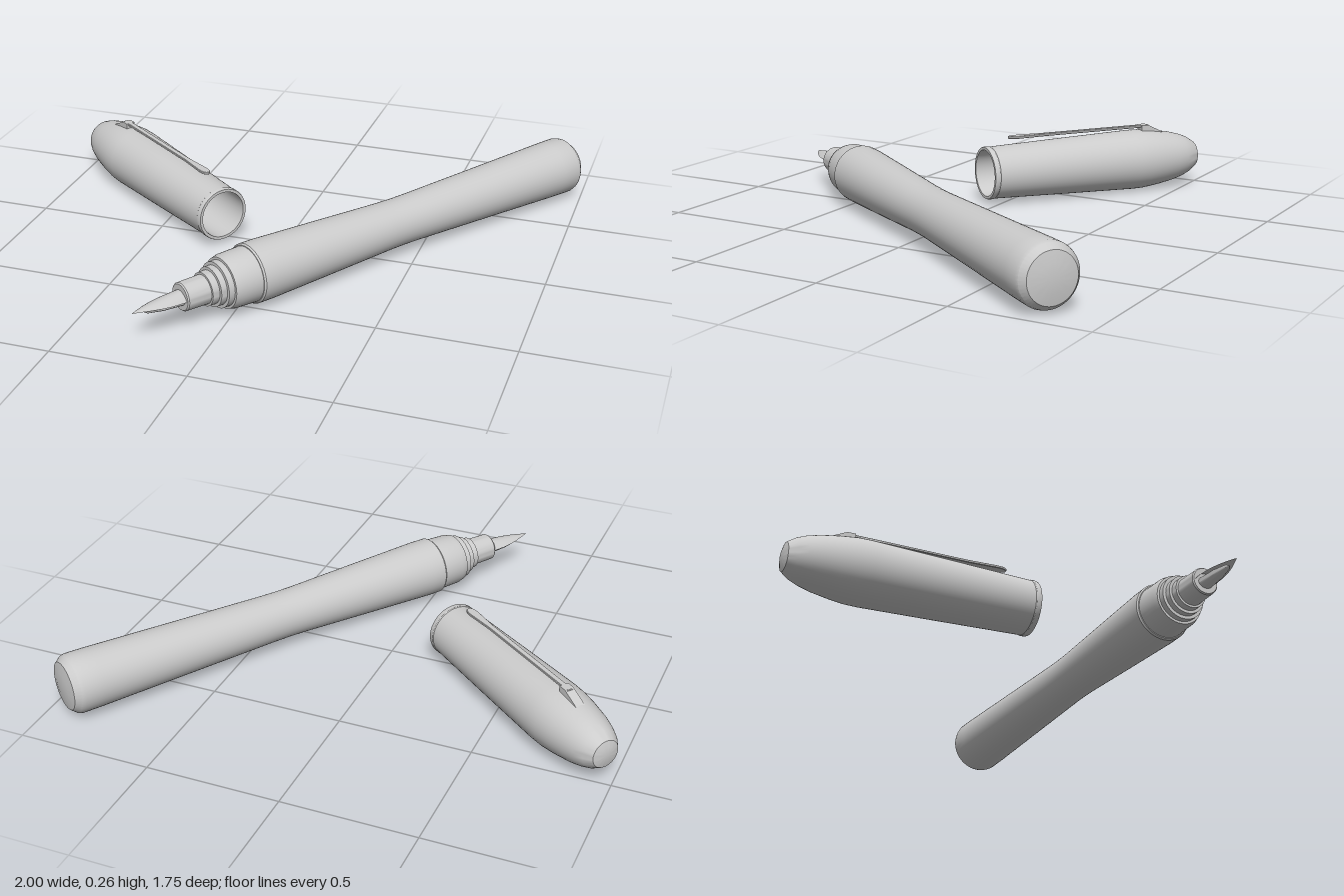
import * as THREE from 'three';
import { toCreasedNormals } from 'three/addons/utils/BufferGeometryUtils.js';
import { ParametricGeometry } from 'three/addons/geometries/ParametricGeometry.js';

const grey = new THREE.MeshStandardMaterial({ color: 0xcccccc });
const thin = new THREE.MeshStandardMaterial({ color: 0xcccccc, side: THREE.DoubleSide });

function add(parent, name, geometry, material = grey) {
  const mesh = new THREE.Mesh(geometry, material);
  mesh.name = name;
  parent.add(mesh);
  return mesh;
}

// Revolve [radius, distance] pairs about the local z axis.
function turned(profile, creaseDegrees = 25) {
  const points = profile.map(([r, d]) => new THREE.Vector2(r, d));
  const geometry = new THREE.LatheGeometry(points, 48).rotateX(Math.PI / 2);
  return toCreasedNormals(geometry, THREE.MathUtils.degToRad(creaseDegrees));
}

// Group lying flat, starting at (x, z) with its local z axis along (dx, dz).
function lying(name, x, z, dx, dz) {
  const group = new THREE.Group();
  group.name = name;
  group.position.set(x, 0.12, z);
  group.rotation.y = Math.atan2(dx, dz);
  return group;
}

function createPen() {
  const pen = lying('pen', -0.247, 0.872, 0.567, -0.824);

  // Waisted barrel with a chamfered, slightly domed end
  add(pen, 'barrel', turned([
    [0, 0.476], [0.106, 0.476], [0.111, 0.482], [0.111, 0.54],
    [0.102, 0.8], [0.091, 1.1], [0.09, 1.17], [0.091, 1.24], [0.101, 1.6],
    [0.111, 1.95], [0.112, 2.025], [0.108, 2.04], [0.09, 2.062], [0.05, 2.069], [0, 2.071],
  ]));

  // Stepped grip collar, narrowing to the stem
  add(pen, 'collar', turned([
    [0, 0.29], [0.062, 0.29], [0.062, 0.318], [0.073, 0.318], [0.073, 0.342],
    [0.085, 0.342], [0.085, 0.366], [0.094, 0.366], [0.1, 0.39], [0.103, 0.478], [0, 0.478],
  ]));
  add(pen, 'stem', turned([
    [0, 0.195], [0.048, 0.195], [0.052, 0.2], [0.054, 0.295], [0, 0.295],
  ]));

  // Arched nib plate, drawn out to a point
  const nib = new ParametricGeometry((u, v, target) => {
    const t = 0.205 * v;
    const side = 2 * u - 1;
    const halfWidth = 0.043 * Math.sin(Math.min(1, t / 0.16) * Math.PI / 2);
    const crown = 0.028 * Math.pow(v, 0.8);
    target.set(side * halfWidth, crown - 0.03 * v * side * side, t);
  }, 12, 16);
  add(pen, 'nib', nib, thin);

  // Ink feed under the nib
  const feed = add(pen, 'feed', turned([
    [0, 0.045], [0.012, 0.06], [0.024, 0.12], [0.03, 0.21], [0, 0.21],
  ], 40));
  feed.scale.y = 0.75;
  feed.position.y = -0.007;
  return pen;
}

function createCap() {
  const cap = lying('cap', -0.223, 0.059, -0.804, -0.595);

  // Hollow shell: inner wall, rim, then outer wall to the blunt tip
  add(cap, 'capShell', turned([
    [0, 0.78], [0.06, 0.77], [0.1, 0.66], [0.09, 0.02], [0.091, 0],
    [0.102, 0], [0.104, 0.006], [0.104, 0.02], [0.102, 0.023], [0.112, 0.35],
    [0.12, 0.64], [0.119, 0.69], [0.112, 0.75], [0.1, 0.82], [0.088, 0.865],
    [0.074, 0.9], [0.053, 0.931], [0.03, 0.938], [0, 0.94],
  ]));

  // Slim clip bar with a rounded, wider free end
  const outline = new THREE.Shape();
  outline.moveTo(-0.009, 0.72);
  outline.lineTo(-0.009, 0.25);
  outline.lineTo(-0.016, 0.14);
  outline.quadraticCurveTo(-0.016, 0.1, 0, 0.1);
  outline.quadraticCurveTo(0.016, 0.1, 0.016, 0.14);
  outline.lineTo(0.009, 0.25);
  outline.lineTo(0.009, 0.72);
  const bar = new THREE.ExtrudeGeometry(outline, {
    depth: 0.006, bevelEnabled: true, bevelSize: 0.002, bevelThickness: 0.002, bevelSegments: 1,
  });
  bar.rotateX(Math.PI / 2);
  add(cap, 'clipBar', bar).position.y = 0.137;

  // Sloping root that joins the clip to the shell
  const side = new THREE.Shape([[0.685, 0.11], [0.79, 0.1], [0.77, 0.112], [0.715, 0.139], [0.685, 0.139]]
    .map(([d, y]) => new THREE.Vector2(d, y)));
  const root = new THREE.ExtrudeGeometry(side, { depth: 0.036, bevelEnabled: false });
  root.translate(0, 0, -0.018).rotateY(-Math.PI / 2);
  add(cap, 'clipRoot', root);
  return cap;
}

export function createModel() {
  const model = new THREE.Group();
  model.name = 'fountainPen';
  model.add(createPen(), createCap());
  return model;
}
